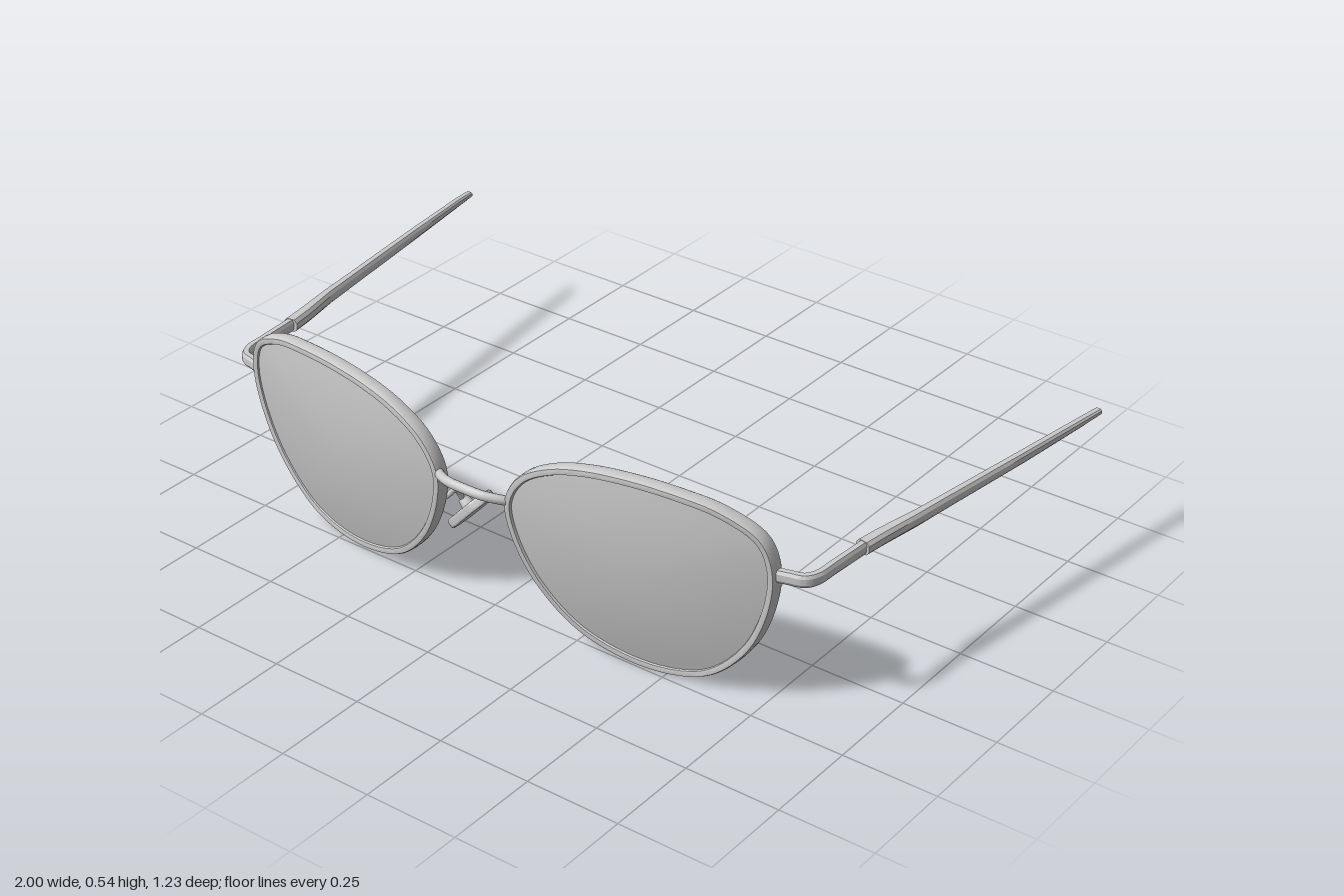
import * as THREE from 'three';
import { toCreasedNormals } from 'three/addons/utils/BufferGeometryUtils.js';

const V = (x, y, z) => new THREE.Vector3(x, y, z);
const material = new THREE.MeshStandardMaterial({ color: 0xcccccc, side: THREE.DoubleSide });

function part(name, geometry) {
  const mesh = new THREE.Mesh(geometry, material);
  mesh.name = name;
  return mesh;
}

// Skin rows of points; each row is a closed ring, and the rows may close too
function loft(rows, closed = false, crease = 0.7) {
  const n = rows[0].length, index = [];
  const count = closed ? rows.length : rows.length - 1;
  for (let i = 0; i < count; i++) {
    for (let j = 0; j < n; j++) {
      const i2 = (i + 1) % rows.length, j2 = (j + 1) % n;
      const a = i * n + j, b = i2 * n + j, c = i2 * n + j2, d = i * n + j2;
      index.push(a, b, c, a, c, d);
    }
  }
  const g = new THREE.BufferGeometry().setFromPoints(rows.flat());
  g.setIndex(index);
  return toCreasedNormals(g, crease);
}

// Flat bar with chamfered edges along stations [x, y, z, thickness, height]
function bar(stations) {
  const corners = [[1, -0.5], [1, 0.5], [0.6, 1], [-0.6, 1], [-1, 0.5], [-1, -0.5], [-0.6, -1], [0.6, -1]];
  const last = stations.length - 1;
  const rows = stations.map(([x, y, z, w, h], i) => {
    const p = stations[Math.max(i - 1, 0)], q = stations[Math.min(i + 1, last)];
    const side = V(q[0] - p[0], 0, q[2] - p[2]).cross(V(0, 1, 0)).normalize();
    return corners.map(([u, v]) => V(x, y + v * h / 2, z).addScaledVector(side, u * w / 2));
  });
  const cap = i => corners.map(() => V(...stations[i].slice(0, 3)));
  return loft([cap(0), ...rows, cap(last)], false, 0.5);
}

function tube(points, radius) {
  return new THREE.TubeGeometry(new THREE.CatmullRomCurve3(points), 32, radius, 10);
}

// Tilted, gently domed surface the lens and rim follow
function faceZ(x, y) {
  const dx = x - 0.45, dy = y - 0.27;
  return 0.52 - 0.16 * dx + 0.115 * dy - 0.2 * (dx * dx + dy * dy);
}

// Lens outline, counter-clockwise seen from the front
const outline = new THREE.CatmullRomCurve3([
  [0.45, 0.544], [0.33, 0.535], [0.23, 0.508], [0.145, 0.455], [0.1, 0.375], [0.11, 0.28],
  [0.17, 0.155], [0.28, 0.05], [0.45, 0.003], [0.6, 0.03], [0.71, 0.135], [0.77, 0.27],
  [0.784, 0.39], [0.755, 0.468], [0.66, 0.52], [0.56, 0.538],
].map(([x, y]) => V(x, y, 0)), true);
const SEGMENTS = 112;
const edge = Array.from({ length: SEGMENTS }, (_, i) => {
  const t = outline.getTangentAt(i / SEGMENTS);
  return { p: outline.getPointAt(i / SEGMENTS), n: V(t.y, -t.x, 0) };
});

function rimGeometry() {
  const steps = 12;
  const soft = v => Math.sign(v) * Math.sqrt(Math.abs(v));
  return loft(edge.map(({ p, n }) => {
    const c = p.clone().addScaledVector(n, -0.01);
    return Array.from({ length: steps }, (_, j) => {
      const a = (j / steps) * Math.PI * 2;
      const q = c.clone().addScaledVector(n, 0.01 * soft(Math.cos(a)));
      q.z = faceZ(c.x, c.y) + 0.02 * soft(Math.sin(a));
      return q;
    });
  }), true);
}

function lensGeometry() {
  const ring = (s, dz) => edge.map(({ p, n }) => {
    const e = p.clone().addScaledVector(n, -0.015);
    const x = 0.44 + (e.x - 0.44) * s, y = 0.28 + (e.y - 0.28) * s;
    return V(x, y, faceZ(x, y) + dz + 0.012 * (1 - s * s));
  });
  const scales = [0, 0.15, 0.3, 0.45, 0.6, 0.75, 0.9, 1];
  return loft([...scales.map(s => ring(s, 0.012)), ...scales.reverse().map(s => ring(s, -0.004))]);
}

// Rounded pad lying in its own xy plane, thin along z
function padGeometry() {
  const shape = new THREE.Shape();
  shape.absarc(0.033, 0, 0.036, -Math.PI / 2, Math.PI / 2);
  shape.absarc(-0.033, 0, 0.036, Math.PI / 2, Math.PI * 1.5);
  const g = new THREE.ExtrudeGeometry(shape, {
    depth: 0.008, bevelSize: 0.007, bevelThickness: 0.008, bevelSegments: 4, curveSegments: 16,
  });
  return toCreasedNormals(g.translate(0, 0, -0.004), 0.8);
}

function createSide(name) {
  const side = new THREE.Group();
  side.name = name;
  side.add(part('rim', rimGeometry()), part('lens', lensGeometry()));

  // Endpiece wraps from the rim round to the hinge
  const wrap = new THREE.CatmullRomCurve3([
    V(0.77, 0.373, 0.458), V(0.81, 0.373, 0.447), V(0.842, 0.373, 0.437),
    V(0.858, 0.373, 0.41), V(0.863, 0.373, 0.35), V(0.872, 0.373, 0.22),
  ]);
  side.add(part('endpiece', bar(wrap.getPoints(30).map(p => [p.x, p.y, p.z, 0.022, 0.032]))));

  // Temple arm, wider at the hinge and thin at the tip
  side.add(part('temple', bar([
    [0.869, 0.373, 0.245, 0.038, 0.034], [0.878, 0.373, 0.18, 0.036, 0.034],
    [0.898, 0.373, 0.07, 0.028, 0.034], [0.913, 0.373, -0.04, 0.025, 0.032],
    [0.952, 0.373, -0.32, 0.023, 0.028], [0.982, 0.374, -0.55, 0.021, 0.02],
    [0.989, 0.374, -0.613, 0.02, 0.015],
  ])));

  // Nose pad with its mount and wire
  const nose = new THREE.Group();
  nose.name = 'nosePadAssembly';
  nose.position.set(0.092, 0.225, 0.47);
  nose.rotation.z = -0.83;
  const pad = part('nosePad', padGeometry());
  pad.rotation.x = -Math.PI / 2;
  const mount = part('padMount', new THREE.CylinderGeometry(0.014, 0.018, 0.026, 12));
  mount.position.y = 0.02;
  nose.add(pad, mount);
  side.add(nose, part('padArm', tube([
    V(0.127, 0.27, 0.548), V(0.113, 0.285, 0.525), V(0.117, 0.282, 0.495), V(0.113, 0.245, 0.473),
  ], 0.007)));
  return side;
}

export function createModel() {
  const model = new THREE.Group();
  model.name = 'eyeglasses';
  const left = createSide('leftSide'), right = createSide('rightSide');
  right.scale.x = -1;

  // Bridge arching forward between the rims
  const half = [[0.112, 0.365, 0.56], [0.085, 0.374, 0.583], [0.05, 0.38, 0.6]];
  const bridge = tube([
    ...half.map(([x, y, z]) => V(-x, y, z)), V(0, 0.381, 0.603),
    ...half.reverse().map(([x, y, z]) => V(x, y, z)),
  ], 0.012);
  model.add(left, right, part('bridge', bridge));
  return model;
}
